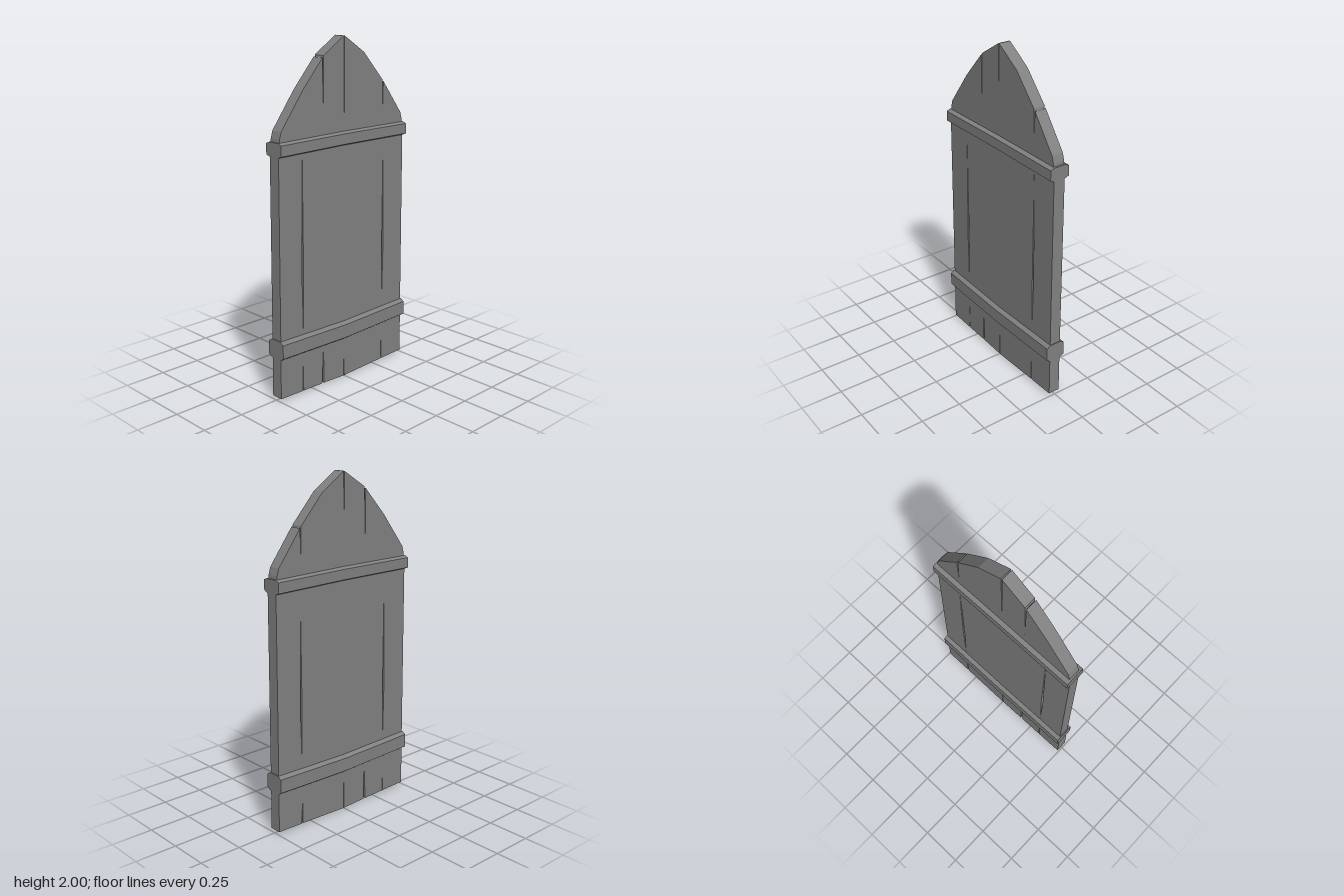
import * as THREE from 'three';

const HALF = 0.035; // half thickness of the planks
const DEEP = 0.012; // half thickness left at the bottom of a crack

// Flat-shaded mesh from a list of triangles
function soup(name, tris, material) {
  const g = new THREE.BufferGeometry();
  g.setAttribute('position', new THREE.Float32BufferAttribute(tris.flat(2), 3));
  g.computeVertexNormals();
  const mesh = new THREE.Mesh(g, material);
  mesh.name = name;
  return mesh;
}

// Pointed plank panel with V-shaped cracks on both faces
function makePanel(material) {
  const tris = [];
  const both = (a, b, c) => {
    const flip = (p) => [p[0], p[1], -p[2]];
    tris.push([a, b, c], [flip(a), flip(c), flip(b)]);
  };
  const rim = [];  // outer wall: x, y, half thickness
  const face = []; // outline of the front face

  const corner = (x, y) => { rim.push([x, y, HALF]); face.push([x, y]); };
  // Crack open at the rim, running from edge points l and r to a tip
  const notch = (l, r, tip) => {
    const mx = (l[0] + r[0]) / 2, my = (l[1] + r[1]) / 2;
    const len = Math.hypot(tip[0] - mx, tip[1] - my);
    const m = [mx + (tip[0] - mx) * 0.012 / len, my + (tip[1] - my) * 0.012 / len, DEEP];
    rim.push([...l, HALF], m, [...r, HALF]);
    face.push(l, tip, r);
    both([...l, HALF], m, [...tip, HALF]);
    both(m, [...r, HALF], [...tip, HALF]);
  };

  // Outline, counterclockwise from the point
  notch([0.003, 1.999], [-0.003, 1.999], [0, 1.57]);
  notch([-0.154, 1.903], [-0.163, 1.893], [-0.161, 1.56]);
  [[-0.31, 1.73], [-0.462, 1.53], [-0.474, 1.49], [-0.483, 1.4], [-0.49, 0.3], [-0.493, 0.015]]
    .forEach((p) => corner(...p));
  notch([-0.329, 0.011], [-0.323, 0.011], [-0.326, 0.2]);
  notch([-0.178, 0.007], [-0.163, 0.007], [-0.166, 0.25]);
  notch([-0.003, 0], [0.003, 0], [0, 0.21]);
  notch([0.317, 0.011], [0.325, 0.011], [0.32, 0.23]);
  [[0.493, 0.015], [0.49, 0.3], [0.483, 1.4], [0.474, 1.49], [0.462, 1.53]]
    .forEach((p) => corner(...p));
  notch([0.314, 1.725], [0.305, 1.736], [0.309, 1.52]);
  corner(0.155, 1.9);

  // Closed cracks between the bands
  const holes = [[-0.322, -0.316], [0.32, 0.317]].map(([x0, x1]) => {
    const ring = [[x0, 0.38], [x0 + 0.007, 0.7], [x1, 1.39], [x0 - 0.005, 0.7]];
    const centre = [x0 + 0.001, 0.7, DEEP];
    ring.forEach((p, i) => both([...p, HALF], [...ring[(i + 1) % 4], HALF], centre));
    return ring;
  });

  // Front and back faces
  const vec = (list) => list.map((p) => new THREE.Vector2(...p));
  const all = [...face, ...holes.flat()];
  THREE.ShapeUtils.triangulateShape(vec(face), holes.map(vec))
    .forEach((t) => both(...t.map((i) => [...all[i], HALF])));

  // Rim wall
  rim.forEach((a, i) => {
    const b = rim[(i + 1) % rim.length];
    const aBack = [a[0], a[1], -a[2]], bBack = [b[0], b[1], -b[2]];
    tris.push([a, aBack, bBack], [a, bBack, b]);
  });
  return soup('plankPanel', tris, material);
}

// Chamfered band around the panel, bent slightly at the middle
function makeBand(name, halfWidth, low, high, chamfer, bend, material) {
  const zIn = 0.037, zOut = 0.06;
  const profile = [
    [low, zIn], [low + chamfer, zOut], [high - chamfer, zOut], [high, zIn],
    [high, -zIn], [high - chamfer, -zOut], [low + chamfer, -zOut], [low, -zIn],
  ];
  const sections = [[-halfWidth, 0], [0, bend], [halfWidth, 0]]
    .map(([x, dy]) => profile.map(([y, z]) => [x, y + dy, z]));
  const tris = [];
  const n = profile.length;
  for (let s = 0; s < 2; s++) {
    for (let i = 0; i < n; i++) {
      const j = (i + 1) % n;
      const a = sections[s][i], b = sections[s + 1][i], c = sections[s + 1][j], d = sections[s][j];
      tris.push([a, b, c], [a, c, d]);
    }
  }
  // End caps
  for (let i = 1; i < n - 1; i++) {
    const [l, , r] = sections;
    tris.push([l[0], l[i], l[i + 1]], [r[0], r[i + 1], r[i]]);
  }
  return soup(name, tris, material);
}

export function createModel() {
  const grey = new THREE.MeshStandardMaterial({ color: 0x808080 });
  grey.name = 'plain grey';
  const group = new THREE.Group();
  group.name = 'plankDoor';
  group.add(
    makePanel(grey),
    makeBand('upperBand', 0.486, 1.393, 1.472, 0.01, 0.004, grey),
    makeBand('lowerBand', 0.495, 0.25, 0.36, 0.015, -0.012, grey),
  );
  return group;
}
